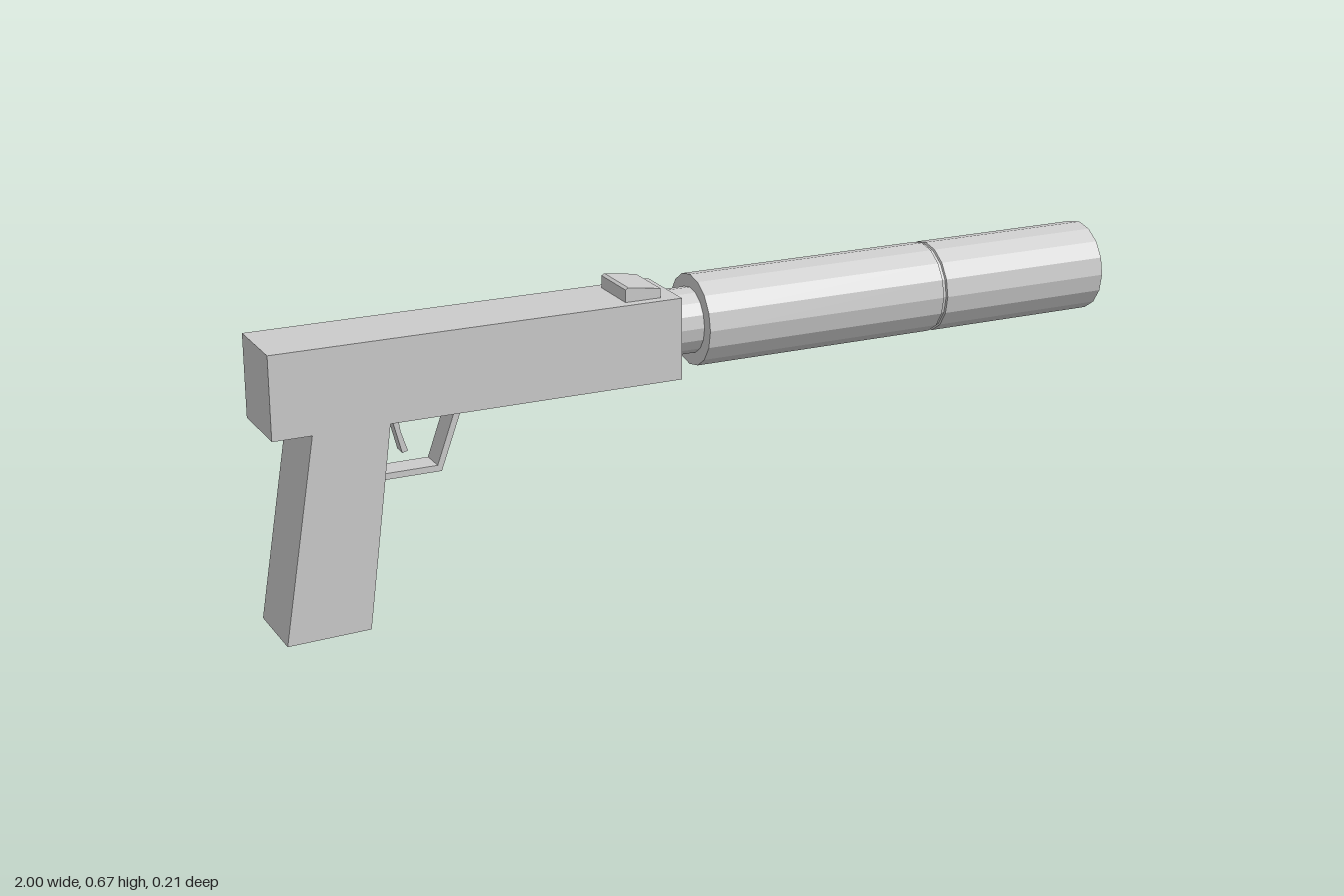
import * as THREE from 'three';

const material = new THREE.MeshStandardMaterial({ color: 0xcccccc, flatShading: true });
const AXIS_Y = 0.561;

export function createModel() {
  const model = new THREE.Group();

  const add = (name, geometry) => {
    const mesh = new THREE.Mesh(geometry, material);
    mesh.name = name;
    model.add(mesh);
    return mesh;
  };

  // Side outline extruded evenly about z = 0
  const slab = (name, outline, width) => {
    const shape = new THREE.Shape(outline.map(([x, y]) => new THREE.Vector2(x, y)));
    const geometry = new THREE.ExtrudeGeometry(shape, { depth: width, bevelEnabled: false });
    add(name, geometry.translate(0, 0, -width / 2));
  };

  // Profile of [radius, x] turned about the barrel line
  const turned = (name, profile) => {
    const points = profile.map(([r, x]) => new THREE.Vector2(r, x));
    const geometry = new THREE.LatheGeometry(points, 16);
    add(name, geometry.rotateZ(-Math.PI / 2)).position.y = AXIS_Y;
  };

  // Slide and raked grip in one outline
  slab('body', [
    [-1, 0.456], [-0.914, 0.456], [-0.99, 0], [-0.805, 0.005],
    [-0.745, 0.456], [-0.075, 0.456], [-0.075, 0.64], [-1, 0.64],
  ], 0.171);

  // Wedge-shaped sight on top
  slab('frontSight', [
    [-0.198, 0.638], [-0.115, 0.638], [-0.115, 0.661], [-0.191, 0.672], [-0.198, 0.668],
  ], 0.125);

  // Bent strip under the body
  slab('triggerGuard', [
    [-0.766, 0.327], [-0.768, 0.313], [-0.615, 0.313], [-0.562, 0.458],
    [-0.577, 0.458], [-0.624, 0.327],
  ], 0.059);

  slab('trigger', [
    [-0.722, 0.458], [-0.697, 0.362], [-0.684, 0.365], [-0.699, 0.41], [-0.706, 0.458],
  ], 0.03);

  // Barrel end joining the body to the suppressor
  turned('barrel', [[0, -0.08], [0.074, -0.08], [0.074, -0.01], [0, -0.01]]);

  // Suppressor with a seam groove and an open bore
  turned('suppressor', [
    [0, -0.015], [0.103, -0.015], [0.103, 0.573], [0.099, 0.575], [0.099, 0.581],
    [0.103, 0.583], [0.103, 1], [0.043, 1], [0.043, 0.5], [0, 0.5],
  ]);

  return model;
}
